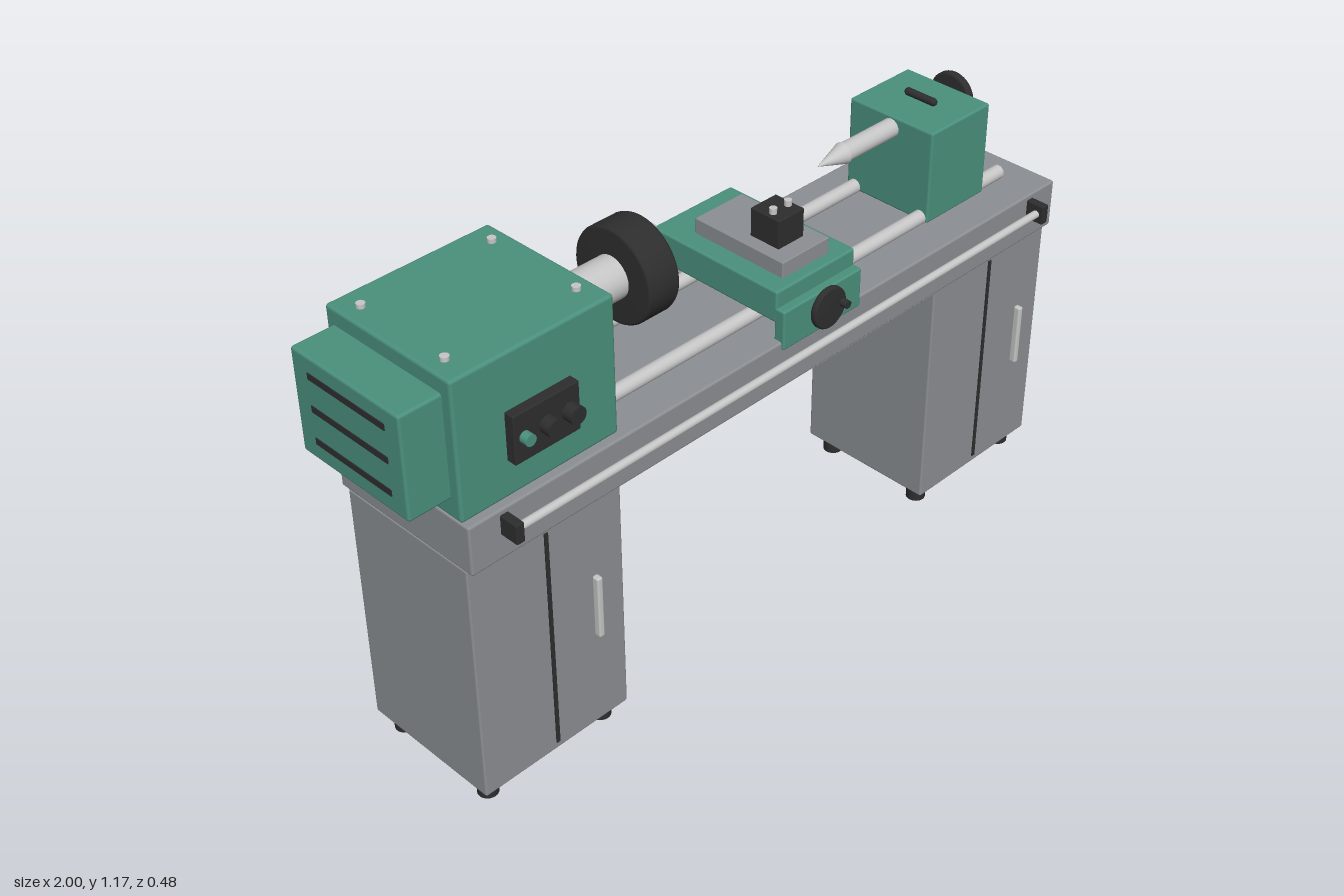
import * as THREE from 'three';
import { RoundedBoxGeometry } from 'three/addons/geometries/RoundedBoxGeometry.js';

const material = (name, color) => {
  const m = new THREE.MeshStandardMaterial({ color });
  m.name = name;
  return m;
};

export function createModel() {
  const green = material('machine green', 0x4b917d);
  const gray = material('cabinet gray', 0x8c8f93);
  const dark = material('black plastic', 0x2e2e2e);
  const metal = material('bright steel', 0xc6c6c6);

  const model = new THREE.Group();
  model.name = 'lathe';
  const CZ = -0.024;       // depth of the machine axis
  const AXIS_Y = 1.035;    // spindle height

  const add = (name, geometry, mat, x, y, z, parent = model) => {
    const mesh = new THREE.Mesh(geometry, mat);
    mesh.name = name;
    mesh.position.set(x, y, z);
    parent.add(mesh);
    return mesh;
  };
  // Box given by its limits on each axis, with optional softened edges
  const box = (name, mat, [x0, x1], [y0, y1], [z0, z1], r = 0) => {
    const s = [x1 - x0, y1 - y0, z1 - z0];
    const g = r ? new RoundedBoxGeometry(...s, 2, r) : new THREE.BoxGeometry(...s);
    return add(name, g, mat, (x0 + x1) / 2, (y0 + y1) / 2, (z0 + z1) / 2);
  };
  // Cylinder along an axis, from a to b; p holds the other two coordinates in x, y, z order
  const rod = (name, mat, axis, a, b, p, r0, r1 = r0) => {
    const g = new THREE.CylinderGeometry(r1, r0, b - a, 32);
    const c = (a + b) / 2;
    if (axis === 'x') return add(name, g.rotateZ(-Math.PI / 2), mat, c, p[0], p[1]);
    if (axis === 'z') return add(name, g.rotateX(Math.PI / 2), mat, p[0], p[1], c);
    return add(name, g, mat, p[0], c, p[1]);
  };
  // Disc along an axis with rounded rims
  const wheel = (name, mat, axis, a, b, p, r, bevel) => {
    const h = (b - a) / 2;
    const pts = [[0, -h], [r - bevel, -h], [r - bevel * 0.3, -h + bevel * 0.3], [r, -h + bevel],
      [r, h - bevel], [r - bevel * 0.3, h - bevel * 0.3], [r - bevel, h], [0, h]];
    const g = new THREE.LatheGeometry(pts.map(q => new THREE.Vector2(...q)), 40);
    if (axis === 'x') return add(name, g.rotateZ(-Math.PI / 2), mat, (a + b) / 2, p[0], p[1]);
    return add(name, g.rotateX(Math.PI / 2), mat, p[0], p[1], (a + b) / 2);
  };

  // Cabinets with feet, door gap and handle
  for (const x of [-0.893, 0.572]) {
    box('cabinet', gray, [x, x + 0.425], [0.045, 0.692], [-0.215, 0.17], 0.005);
    box('doorGap', dark, [x + 0.206, x + 0.216], [0.065, 0.67], [0.168, 0.173]);
    box('doorHandle', metal, [x + 0.334, x + 0.35], [0.305, 0.475], [0.168, 0.188], 0.005);
    for (const fx of [0.042, 0.383])
      for (const fz of [0.122, -0.168]) rod('foot', dark, 'y', 0, 0.048, [x + fx, fz], 0.025);
  }

  // Bed, chip tray and guide ways
  box('bed', gray, [-0.893, 0.997], [0.69, 0.816], [-0.237, 0.189], 0.006);
  box('chipTray', metal, [-0.47, 0.574], [0.667, 0.692], [-0.22, 0.165]);
  for (const z of [-0.128, 0.08]) rod('guideWay', metal, 'x', -0.6, 0.91, [0.833, z], 0.018);

  // Lead screw along the front of the bed
  rod('leadScrew', metal, 'x', -0.81, 0.91, [0.777, 0.218], 0.01);
  for (const x of [-0.801, 0.902])
    box('leadScrewBracket', dark, [x - 0.011, x + 0.011], [0.753, 0.803], [0.186, 0.238], 0.003);

  // Headstock with top screws, end cover and vents
  box('headstock', green, [-0.893, -0.468], [0.816, 1.162], [-0.215, 0.17], 0.008);
  for (const x of [-0.85, -0.51])
    for (const z of [0.105, -0.153]) rod('topScrew', metal, 'y', 1.155, 1.172, [x, z], 0.01);
  box('endCover', green, [-0.998, -0.885], [0.865, 1.122], [-0.195, 0.142], 0.007);
  for (const y of [0.915, 0.995, 1.075])
    box('vent', dark, [-1, -0.995], [y - 0.008, y + 0.008], [CZ - 0.12, CZ + 0.12]);

  // Control panel
  box('controlPanel', dark, [-0.767, -0.592], [0.906, 1.026], [0.165, 0.195], 0.003);
  rod('startButton', green, 'z', 0.19, 0.215, [-0.74, 0.966], 0.014);
  for (const x of [-0.68, -0.62]) rod('controlKnob', dark, 'z', 0.19, 0.222, [x, 0.966], 0.021);

  // Spindle, chuck and its three jaws
  rod('spindle', metal, 'x', -0.48, -0.29, [AXIS_Y, CZ], 0.052);
  wheel('chuck', dark, 'x', -0.296, -0.206, [AXIS_Y, CZ], 0.117, 0.008);
  for (let i = 0; i < 3; i++) {
    const sector = new THREE.Group();
    sector.name = 'chuckSector';
    sector.position.set(0, AXIS_Y, CZ);
    sector.rotation.x = i * Math.PI * 2 / 3;
    model.add(sector);
    add('jaw', new THREE.BoxGeometry(0.036, 0.044, 0.026), metal, -0.192, 0.058, 0, sector);
    add('chuckScrew', new THREE.CylinderGeometry(0.011, 0.011, 0.008, 16).rotateZ(Math.PI / 2),
      dark, -0.205, -0.086, 0, sector);
  }

  // Carriage, cross slide and tool post
  box('saddle', green, [0.01, 0.266], [0.858, 0.94], [-0.218, 0.172], 0.006);
  box('apron', green, [0.01, 0.266], [0.795, 0.897], [0.165, 0.195], 0.005);
  box('crossSlide', gray, [0.06, 0.212], [0.935, 0.98], [-0.13, 0.142], 0.003);
  box('toolPost', dark, [0.094, 0.176], [0.978, 1.052], [0.01, 0.097], 0.003);
  for (const x of [0.112, 0.16]) rod('toolPostBolt', metal, 'y', 1.045, 1.066, [x, 0.062], 0.009);

  // Carriage handwheel
  rod('carriageShaft', metal, 'z', 0.19, 0.208, [0.136, 0.861], 0.014);
  wheel('carriageWheel', dark, 'z', 0.204, 0.221, [0.136, 0.861], 0.052, 0.005);
  rod('carriageWheelKnob', dark, 'z', 0.218, 0.238, [0.174, 0.861], 0.01);

  // Tailstock with quill, pointed centre and clamp lever
  box('tailstock', green, [0.61, 0.822], [0.822, 1.066], [-0.153, 0.103], 0.006);
  rod('quill', metal, 'x', 0.43, 0.62, [AXIS_Y, CZ], 0.024);
  rod('tailCentre', metal, 'x', 0.354, 0.44, [AXIS_Y, CZ], 0.001, 0.027);
  const lever = new THREE.CapsuleGeometry(0.01, 0.076, 6, 16).rotateX(Math.PI / 2);
  add('clampLever', lever, dark, 0.717, 1.076, CZ);

  // Tailstock handwheel
  rod('tailShaft', metal, 'x', 0.815, 0.83, [AXIS_Y, CZ], 0.016);
  wheel('tailWheel', dark, 'x', 0.826, 0.848, [AXIS_Y, CZ], 0.061, 0.006);
  rod('tailWheelKnob', dark, 'x', 0.845, 0.893, [AXIS_Y, CZ - 0.046], 0.008);

  return model;
}
